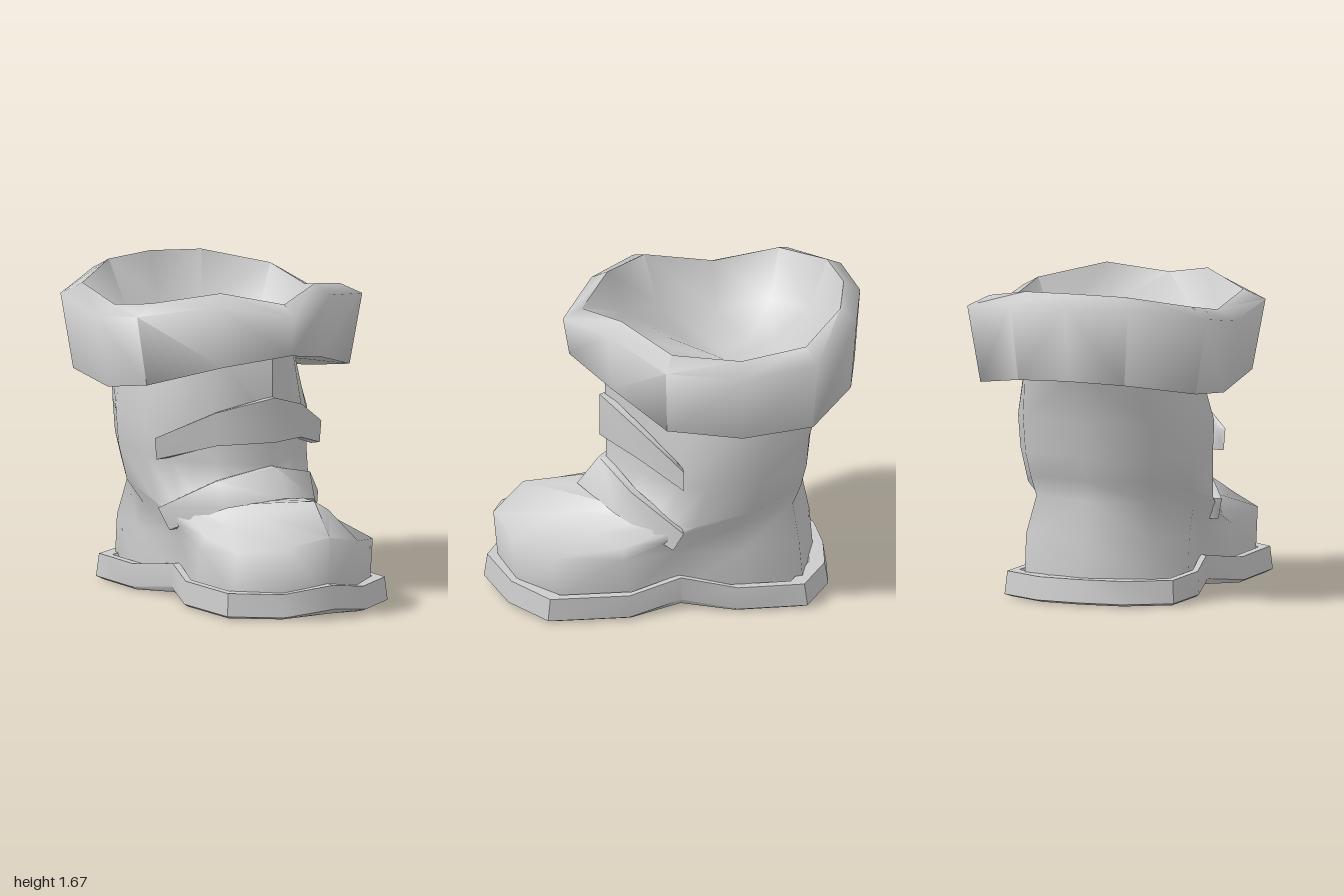
import * as THREE from 'three';
import { toCreasedNormals } from 'three/addons/utils/BufferGeometryUtils.js';

const mix = THREE.MathUtils.lerp;
const material = new THREE.MeshStandardMaterial({ color: 0xcccccc, side: THREE.DoubleSide });

// Skin a list of closed cross-sections; ends can be closed with a fan
function loft(name, rings, capStart, capEnd, crease) {
  const n = rings[0].length, pos = [];
  const tri = (a, b, c) => pos.push(...a, ...b, ...c);
  for (let i = 0; i + 1 < rings.length; i++) {
    const lo = rings[i], hi = rings[i + 1];
    for (let j = 0; j < n; j++) {
      const k = (j + 1) % n;
      // turn the diagonal on the second half so both sides match
      if (j < n / 2) { tri(lo[j], lo[k], hi[k]); tri(lo[j], hi[k], hi[j]); }
      else { tri(lo[j], lo[k], hi[j]); tri(lo[k], hi[k], hi[j]); }
    }
  }
  const cap = (ring, flip) => {
    const c = [0, 1, 2].map(a => ring.reduce((s, p) => s + p[a], 0) / n);
    ring.forEach((p, j) => {
      const q = ring[(j + 1) % n];
      if (flip) tri(c, q, p); else tri(c, p, q);
    });
  };
  if (capStart) cap(rings[0], true);
  if (capEnd) cap(rings[rings.length - 1], false);
  const geo = new THREE.BufferGeometry();
  geo.setAttribute('position', new THREE.Float32BufferAttribute(pos, 3));
  const mesh = new THREE.Mesh(toCreasedNormals(geo, crease), material);
  mesh.name = name;
  return mesh;
}

// Half section from front centre to back centre, completed on the other side
const mirror = half => [
  ...half,
  ...half.slice(1, -1).reverse().map(([x, y, z]) => [-x, y, z]),
];

// Sole: one outline, arched at the waist (corner 4) and lifted at the toe (corner 0)
function sole() {
  const outline = [[0, 1], [0.25, 0.9], [0.49, 0.72], [0.5, 0.29], [0.41, 0], [0.48, -0.3], [0.48, -0.66], [0.24, -0.8], [0, -0.82]];
  const ring = (scale, y, lift) => mirror(outline.map(([x, z], i) =>
    [x * scale, i === 0 || i === 4 ? y + lift : y, (z - 0.09) * scale + 0.09]));
  return loft('sole', [
    ring(0.95, 0, 0.025),
    ring(1, 0.015, 0.04),
    ring(0.98, 0.137, 0.043),
    ring(0.89, 0.137, 0.043),
    ring(0.86, 0.1, 0.02),
  ], true, true, 0.8);
}

// Foot and shaft: the plan blends from a long foot to a wedge-fronted leg,
// and each ring tilts between its front, side and back heights
function upper() {
  const footPlan = [[0, 1], [0.5, 0.958], [0.97, 0.845], [0.98, 0.62], [0.86, 0.446], [1, 0.25], [0.86, 0.06], [0, 0]];
  const legPlan = [[0, 1], [0.48, 0.84], [0.69, 0.76], [0.85, 0.68], [1, 0.56], [1, 0.3], [0.73, 0.06], [0, 0]];
  const frontShare = [1, 0.6, 0.3, 0, 0, 0, 0, 0];
  const backShare = [0, 0, 0, 0, 0.2, 0.6, 1, 1];
  const ring = ([zFront, zBack, width, leg, yFront, ySide, yBack]) => mirror(footPlan.map(([x, t], i) => [
    width * mix(x, legPlan[i][0], leg),
    ySide + frontShare[i] * (yFront - ySide) + backShare[i] * (yBack - ySide),
    mix(zBack, zFront, mix(t, legPlan[i][1], leg)),
  ]));
  return loft('footAndShaft', [
    [0.92, -0.75, 0.43, 0, 0.1, 0.1, 0.1],
    [0.95, -0.73, 0.43, 0, 0.43, 0.31, 0.34],
    [0.79, -0.69, 0.43, 0.85, 0.6, 0.36, 0.54],
    [0.44, -0.71, 0.465, 1, 0.55, 0.47, 0.65],
    [0.35, -0.735, 0.49, 1, 0.72, 0.74, 0.78],
    [0.352, -0.75, 0.5, 1, 0.95, 0.91, 0.96],
    [0.36, -0.86, 0.43, 1, 1.34, 1.22, 1.25],
  ].map(ring), true, false, 1.4);
}

// Flared cuff: scaled copies of one plan, placed between the hem and rim waves
function cuff() {
  const plan = [[0, 0.58], [0.34, 0.385], [0.69, 0.12], [0.69, -0.3], [0.68, -0.69], [0.335, -0.94], [0, -1]];
  const hem = [1.34, 1.275, 1.17, 1.1, 1.14, 1.2, 1.215];
  const rim = [1.605, 1.665, 1.6, 1.54, 1.6, 1.665, 1.675];
  const middle = -0.27;
  const ring = (sx, sz, rise, drop) => mirror(plan.map(([x, z], i) =>
    [x * sx, mix(hem[i], rim[i], rise) - drop, middle + (z - middle) * sz]));
  return loft('cuff', [
    ring(0.54, 0.66, 0.08, 0),
    ring(0.9, 0.96, 0, 0),
    ring(1, 1, 1, 0.055),
    ring(0.845, 0.88, 1, 0),
    ring(0.69, 0.74, 0.45, 0),
    ring(0.4, 0.42, 0.2, 0.02),
  ], false, true, 1.5);
}

// Strap wrapped over the front; each edge runs from the centre to the +x end
function strap(name, top, bottom, bulge) {
  const edge = ([centre, end]) => {
    const mid = centre.map((v, a) => (v + end[a]) / 2 + bulge[a]);
    return [centre, mid, end];
  };
  const sink = ([x, y, z]) => [x * 0.89, y, z * 0.88];
  const lower = edge(bottom);
  const half = edge(top).map((t, i) => [t, lower[i], sink(lower[i]), sink(t)]);
  const flipped = half.slice(1).reverse().map(s => s.map(([x, y, z]) => [-x, y, z]));
  return loft(name, [...flipped, ...half], true, true, 1.2);
}

export function createModel() {
  const boot = new THREE.Group();
  boot.name = 'boot';
  boot.add(
    sole(),
    upper(),
    cuff(),
    strap('upperStrap',
      [[0, 1.09, 0.385], [0.51, 0.86, 0]],
      [[0, 0.85, 0.385], [0.5, 0.745, 0]], [0.01, 0.03, 0.02]),
    strap('lowerStrap',
      [[0, 0.72, 0.39], [0.49, 0.485, 0]],
      [[0, 0.57, 0.505], [0.45, 0.37, 0.05]], [0.045, 0.045, 0.06]),
  );
  return boot;
}
